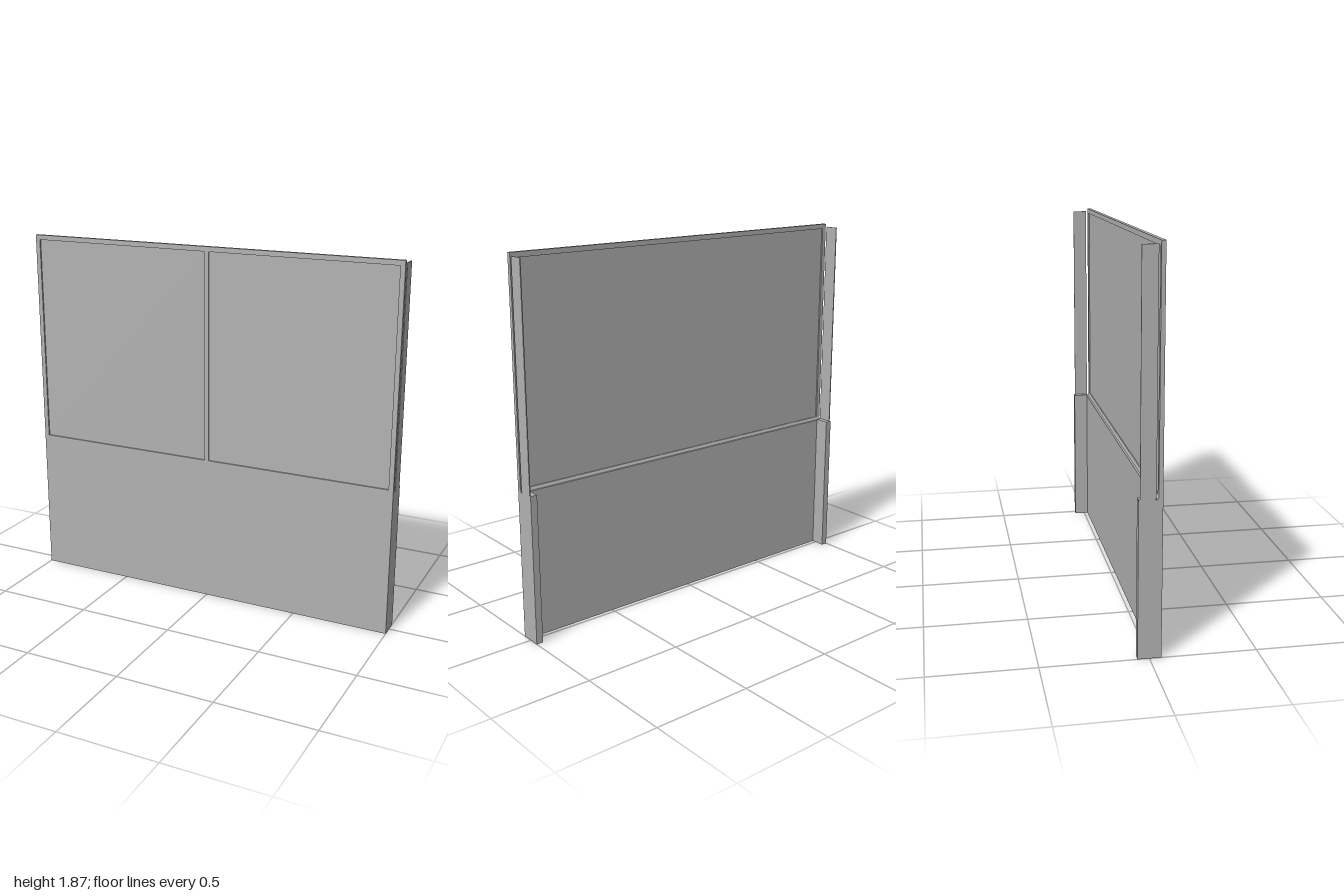
import * as THREE from 'three';

const grey = new THREE.MeshStandardMaterial({ color: 0xb2b2b2 });
grey.name = 'plain grey';

// Box given by its minimum and maximum corners
function block(name, x0, x1, y0, y1, z0, z1) {
  const mesh = new THREE.Mesh(new THREE.BoxGeometry(x1 - x0, y1 - y0, z1 - z0), grey);
  mesh.position.set((x0 + x1) / 2, (y0 + y1) / 2, (z0 + z1) / 2);
  mesh.name = name;
  return mesh;
}

export function createModel() {
  const group = new THREE.Group();
  group.name = 'windowPanel';
  const SILL = 0.765, HEAD = 1.845, TOP = 1.87, FRONT = 0.055;

  // Lower wall panel with a sloped ledge behind the frame; profile is (z, y)
  const profile = new THREE.Shape([
    [0.02, 0], [FRONT, 0], [FRONT, SILL], [0.037, SILL], [0.03, 0.75], [0.02, 0.75],
  ].map(([z, y]) => new THREE.Vector2(z, y)));
  const wallGeo = new THREE.ExtrudeGeometry(profile, { depth: 2, bevelEnabled: false });
  wallGeo.rotateY(-Math.PI / 2).translate(1, 0, 0);
  // the turn maps the profile's x onto z and its depth onto -x
  const wall = new THREE.Mesh(wallGeo, grey);
  wall.name = 'lowerWall';
  group.add(wall);

  // Upper frame
  group.add(block('topRail', -1, 1, HEAD, TOP, 0.035, FRONT));
  group.add(block('mullion', -0.012, 0.012, SILL, HEAD, 0.042, FRONT));

  for (const s of [-1, 1]) {
    const side = (name, a, b, ...rest) =>
      group.add(block(name, Math.min(s * a, s * b), Math.max(s * a, s * b), ...rest));
    side('frameStile', 0.976, 1, SILL, HEAD, 0.035, FRONT);
    side('windowPane', 0.012, 0.976, SILL, HEAD, 0.042, 0.047);
    // Deep return at the lower edge and thin flange above it
    side('lowerReturn', 0.965, 1, 0, 0.755, -0.055, 0.02);
    side('upperFlange', 0.995, 1, 0.755, 1.855, -0.048, 0.025);
  }
  return group;
}
